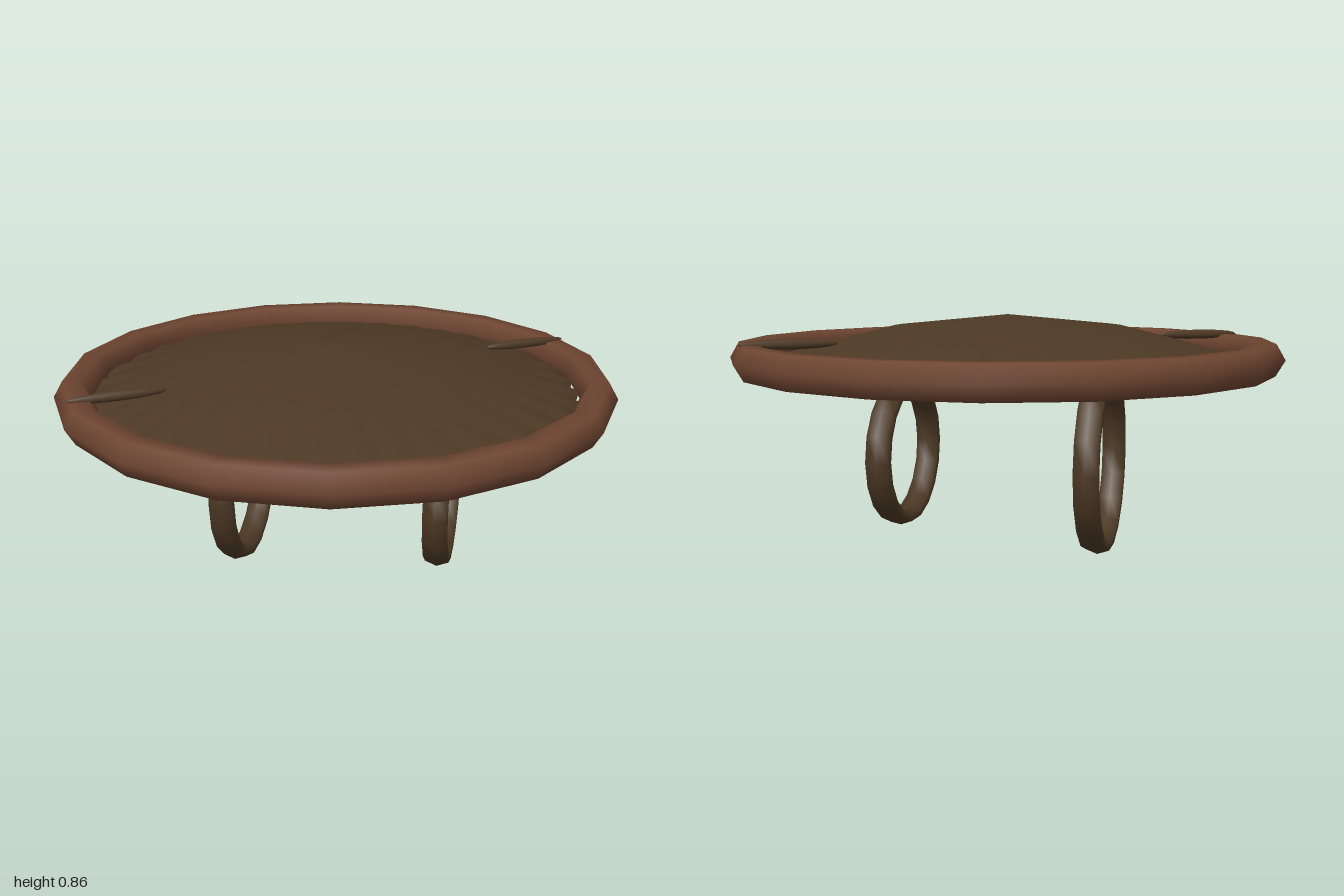
import * as THREE from 'three';

const wood = new THREE.MeshStandardMaterial({ color: 0x6e4531 });
wood.name = 'reddish wood';
const leather = new THREE.MeshStandardMaterial({ color: 0x4c3824 });
leather.name = 'brown leather';

function part(name, geometry, material, x, y, z) {
  const mesh = new THREE.Mesh(geometry, material);
  mesh.name = name;
  mesh.position.set(x, y, z);
  return mesh;
}

// Coarse bent-wood hoop with a six-sided section
function rimGeometry() {
  const g = new THREE.TorusGeometry(0.935, 0.065, 6, 18);
  g.rotateX(Math.PI / 2);
  g.scale(1, 1, 1.01);
  return g;
}

// Shallow lens of stretched hide, with a ruffled edge
function hideGeometry() {
  const profile = [
    [0, 0.612], [0.35, 0.622], [0.7, 0.641], [0.82, 0.667], [0.872, 0.685],
    [0.875, 0.7], [0.82, 0.722], [0.65, 0.77], [0.43, 0.826], [0, 0.87],
  ].map(([r, y]) => new THREE.Vector2(r, y));
  const g = new THREE.LatheGeometry(profile, 160);
  const p = g.attributes.position;
  for (let i = 0; i < p.count; i++) {
    const x = p.getX(i), z = p.getZ(i);
    const r = Math.hypot(x, z), a = Math.atan2(z, x);
    const grow = Math.max(0, (r - 0.6) / 0.275) ** 2;
    const wave = Math.sin(36 * a + Math.sin(5 * a)) * grow;
    const k = 1 + 0.011 * wave;
    p.setXYZ(i, x * k, p.getY(i) + 0.006 * wave, z * k);
  }
  g.computeVertexNormals();
  return g;
}

// Flattened strap loop standing in the yz plane
function loopGeometry(radius, stretch) {
  const g = new THREE.TorusGeometry(radius, 0.03, 6, 18);
  g.scale(stretch, 1, 0.05 / 0.03);
  g.rotateY(Math.PI / 2);
  return g;
}

// Tapered lashing laid from the rim onto the hide
function lashing(name, side) {
  const g = new THREE.SphereGeometry(1, 8, 10);
  g.rotateZ(Math.PI / 2);
  g.scale(0.17, 0.018, 0.024);
  const mesh = part(name, g, leather, 0.66 * side, 0.778, -0.45 * side);
  mesh.rotation.y = Math.atan2(0.19, 0.29);
  return mesh;
}

export function createModel() {
  const shield = new THREE.Group();
  shield.name = 'roundShield';
  shield.add(
    part('rim', rimGeometry(), wood, 0, 0.72, 0),
    part('hide', hideGeometry(), leather, -0.008, 0, -0.012),
    part('leftStrapLoop', loopGeometry(0.255, 1.13), leather, 0.405, 0.345, 0.007),
    part('rightStrapLoop', loopGeometry(0.315, 1), leather, -0.36, 0.345, -0.015),
    lashing('leftLashing', 1),
    lashing('rightLashing', -1),
  );
  return shield;
}
